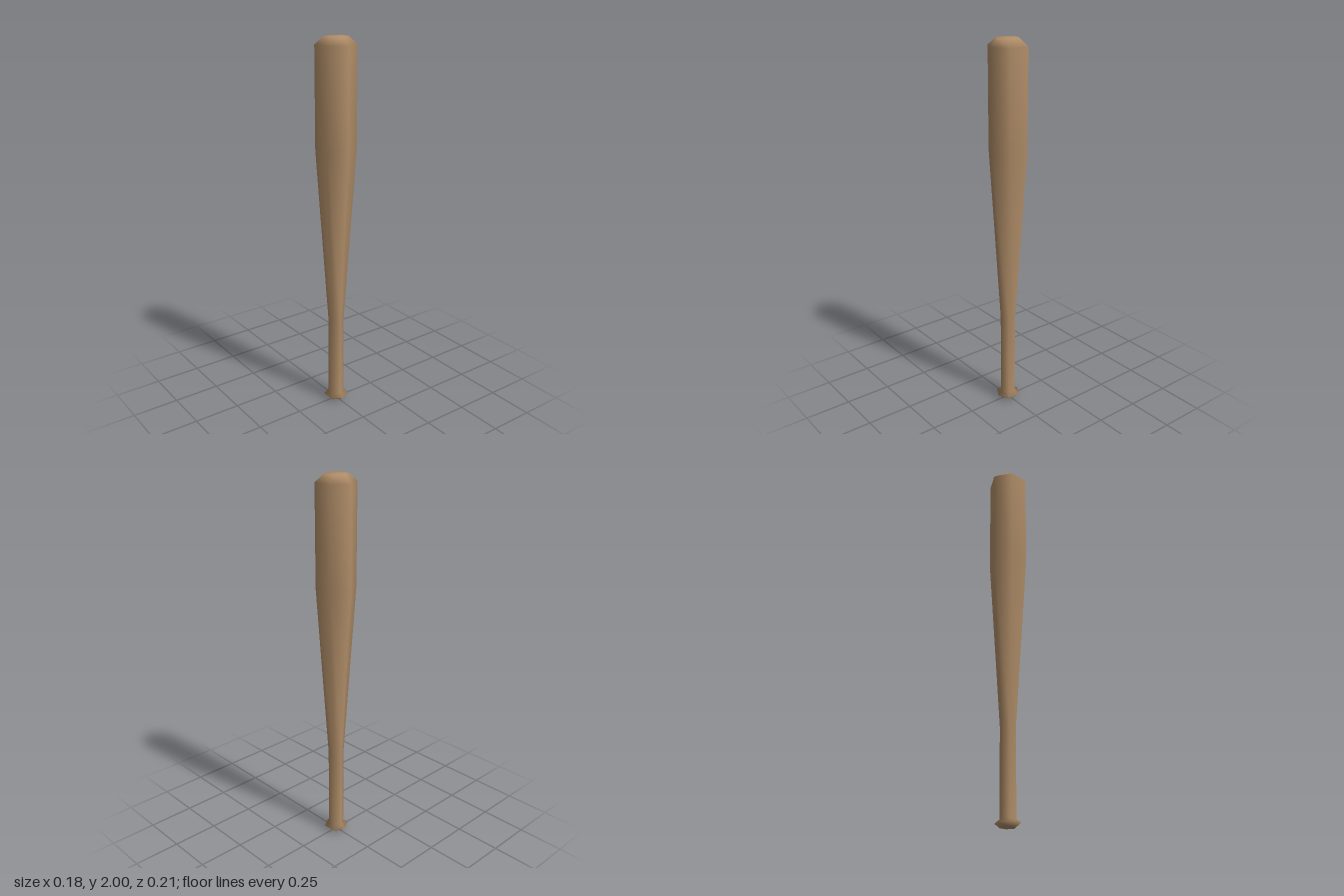
import * as THREE from 'three';

// Six-sided, smooth-shaded turned part; points are [radius, height] from bottom to top
function turned(name, points, material) {
  const profile = points.map(([r, y]) => new THREE.Vector2(r, y));
  const mesh = new THREE.Mesh(new THREE.LatheGeometry(profile, 6), material);
  mesh.name = name;
  return mesh;
}

export function createModel() {
  const group = new THREE.Group();
  group.name = 'bat';
  const wood = new THREE.MeshStandardMaterial({ color: 0xb08d68 });

  // Knob, handle, taper and barrel share one continuous profile
  group.add(turned('batBody', [
    [0, 0],
    [0.04, 0.005],
    [0.067, 0.026],
    [0.042, 0.042],
    [0.042, 0.5],
    [0.105, 1.44],
    [0.105, 1.96],
    [0.06, 1.998],
    [0, 2],
  ], wood));

  return group;
}
